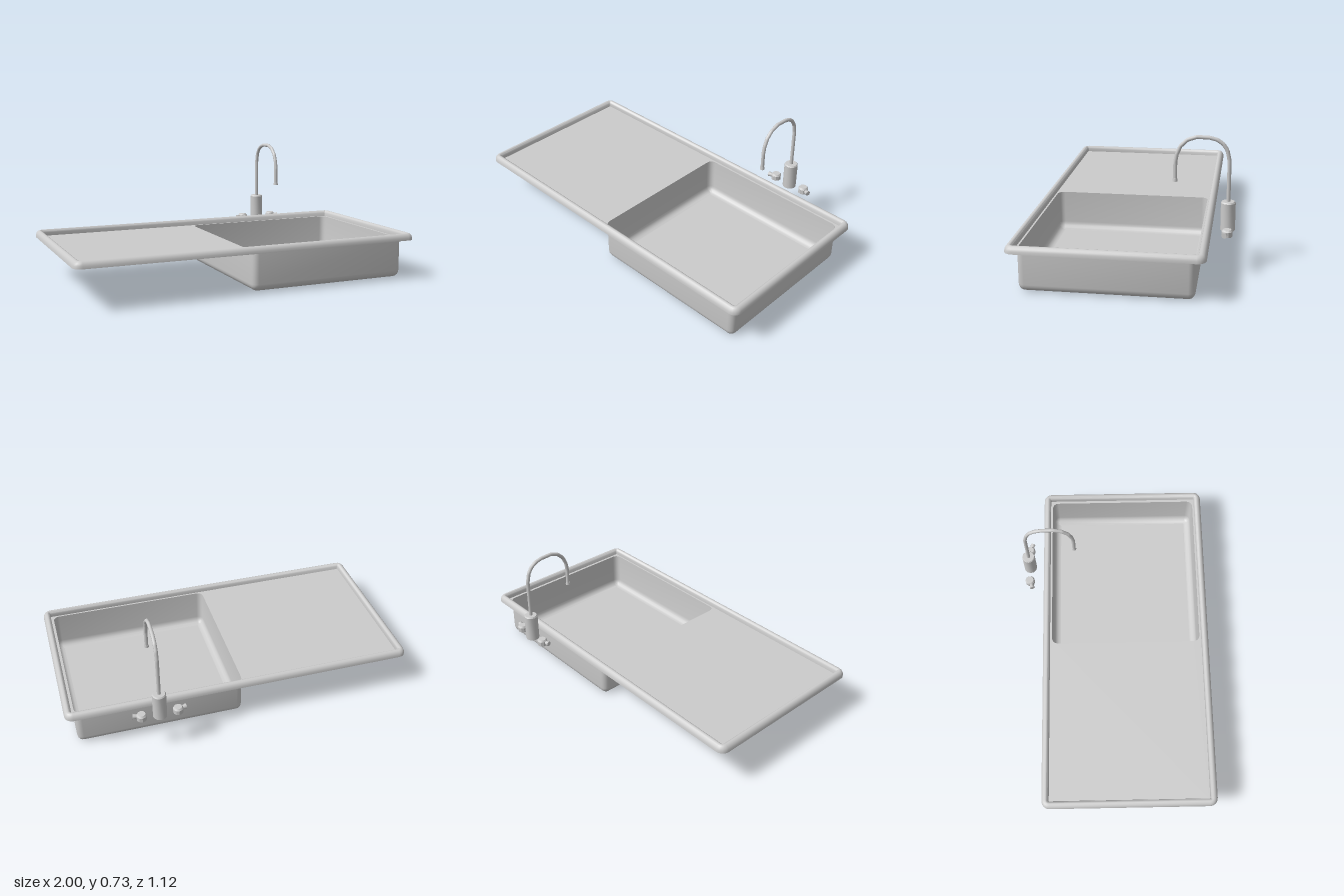
import * as THREE from 'three';
import { toCreasedNormals } from 'three/addons/utils/BufferGeometryUtils.js';

const steel = new THREE.MeshStandardMaterial({ color: 0xcccccc });
const sheet = new THREE.MeshStandardMaterial({ color: 0xcccccc, side: THREE.DoubleSide });

// rectangles as [x0, x1, z0, z1]
const RIM = [-1, 1, -0.44, 0.56];
const BASIN = [-0.01, 0.943, -0.387, 0.508];
const TAP_Z = -0.522;

function mesh(name, geometry, material = steel) {
  const m = new THREE.Mesh(geometry, material);
  m.name = name;
  return m;
}

// Outline of a rounded rectangle, moved inwards by inset
function outline([x0, x1, z0, z1], radius, inset = 0, steps = 4) {
  const r = Math.max(radius - inset, 0.006);
  const a = x0 + inset + r, b = x1 - inset - r;
  const c = z0 + inset + r, d = z1 - inset - r;
  const centres = [[b, d], [a, d], [a, c], [b, c]];
  const points = [];
  centres.forEach(([x, z], corner) => {
    for (let i = 0; i <= steps; i++) {
      const t = (corner + i / steps) * Math.PI / 2;
      points.push(new THREE.Vector2(x + r * Math.cos(t), z + r * Math.sin(t)));
    }
  });
  return points;
}

// Skin through rounded rectangles; profile holds [inset, y] pairs from outside bottom up
function loft(rect, radius, profile) {
  const positions = [], index = [];
  let n = 0;
  profile.forEach(([inset, y], k) => {
    const ring = outline(rect, radius, inset);
    n = ring.length;
    ring.forEach(p => positions.push(p.x, y, p.y));
    if (k === 0) return;
    for (let i = 0; i < n; i++) {
      const j = (i + 1) % n, lo = (k - 1) * n, hi = k * n;
      index.push(lo + i, hi + i, lo + j, lo + j, hi + i, hi + j);
    }
  });
  const g = new THREE.BufferGeometry();
  g.setAttribute('position', new THREE.Float32BufferAttribute(positions, 3));
  g.setIndex(index);
  return toCreasedNormals(g, 0.8);
}

// Flat horizontal sheet with an optional opening
function panel(points, y, hole) {
  const flip = list => list.map(p => new THREE.Vector2(p.x, -p.y));
  const shape = new THREE.Shape(flip(points));
  if (hole) shape.holes.push(new THREE.Path(flip(hole)));
  return new THREE.ShapeGeometry(shape).rotateX(-Math.PI / 2).translate(0, y, 0);
}

function createSink() {
  const sink = new THREE.Group();
  sink.name = 'sink';

  // Raised rolled rim, open underneath
  sink.add(mesh('rim', loft(RIM, 0.045, [
    [0, 0.224], [0.001, 0.238], [0.006, 0.25], [0.014, 0.258], [0.024, 0.262],
    [0.032, 0.26], [0.038, 0.254], [0.041, 0.245], [0.042, 0.227],
  ]), sheet));

  // Draining board with the basin opening
  sink.add(mesh('drainingBoard',
    panel(outline(RIM, 0.045, 0.042), 0.227, outline(BASIN, 0.035)), sheet));

  // Basin walls rounding into the floor
  const wall = [[0, 0.227]];
  const r = 0.04;
  for (let i = 0; i <= 5; i++) {
    const t = i / 5 * Math.PI / 2;
    wall.push([r * (1 - Math.cos(t)), r * (1 - Math.sin(t))]);
  }
  sink.add(mesh('basinWalls', loft(BASIN, 0.035, wall.reverse()), sheet));
  sink.add(mesh('basinFloor', panel(outline(BASIN, 0.035, r), 0), sheet));
  return sink;
}

function createTap() {
  const tap = new THREE.Group();
  tap.name = 'tap';
  tap.position.set(0.5, 0, TAP_Z);

  // Thick body with softened top edge
  const body = [[0, 0.222], [0.039, 0.222], [0.039, 0.373], [0.034, 0.38], [0, 0.38]]
    .map(p => new THREE.Vector2(...p));
  tap.add(mesh('tapBody', toCreasedNormals(new THREE.LatheGeometry(body, 12), 0.6)));

  // Swan-neck spout
  const path = new THREE.CurvePath();
  const pts = [[0, 0.37], [0, 0.6], [0.012, 0.655], [0.033, 0.688], [0.065, 0.71],
    [0.105, 0.72], [0.17, 0.722], [0.22, 0.705], [0.256, 0.67], [0.275, 0.625],
    [0.282, 0.585], [0.282, 0.485]].map(([z, y]) => new THREE.Vector3(0, y, z));
  for (let i = 1; i < pts.length; i++) path.add(new THREE.LineCurve3(pts[i - 1], pts[i]));
  tap.add(mesh('spout', new THREE.TubeGeometry(path, 60, 0.0105, 10)));

  const nozzle = mesh('nozzle', new THREE.CylinderGeometry(0.012, 0.014, 0.016, 10));
  nozzle.position.set(0, 0.487, 0.282);
  tap.add(nozzle);

  // Two knobs, each with a short lever pointing outwards and forwards
  for (const side of [-1, 1]) {
    const handle = new THREE.Group();
    handle.name = side > 0 ? 'leftHandle' : 'rightHandle';
    handle.position.set(side * 0.101, 0.24, -0.001);
    const knob = [[0, -0.018], [0.028, -0.018], [0.029, 0.01], [0.022, 0.02], [0, 0.02]]
      .map(p => new THREE.Vector2(...p));
    handle.add(mesh('knob', toCreasedNormals(new THREE.LatheGeometry(knob, 10), 0.6)));
    const lever = mesh('lever', new THREE.CylinderGeometry(0.015, 0.01, 0.032, 8));
    lever.rotation.set(0, -side * 0.25, -side * Math.PI / 2);
    lever.position.set(side * 0.031, 0, 0.01);
    handle.add(lever);
    tap.add(handle);
  }
  return tap;
}

export function createModel() {
  const model = new THREE.Group();
  model.name = 'kitchenSink';
  model.add(createSink(), createTap());
  return model;
}
